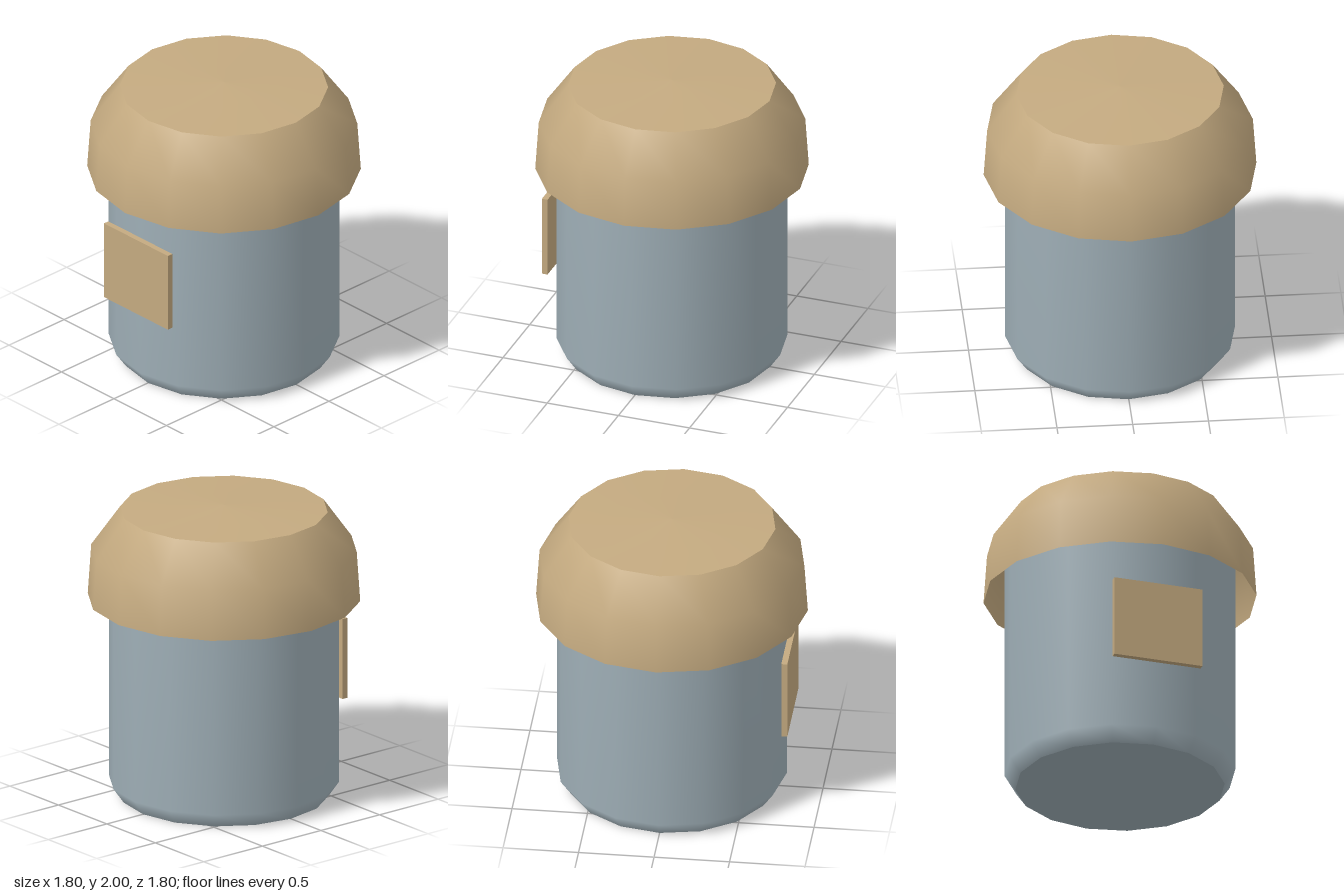
import * as THREE from 'three';

const SIDES = 16;

// Revolve a short [radius, height] profile, listed from bottom to top
function turned(name, profile, material) {
  const points = profile.map(([r, y]) => new THREE.Vector2(r, y));
  const mesh = new THREE.Mesh(new THREE.LatheGeometry(points, SIDES), material);
  mesh.name = name;
  return mesh;
}

export function createModel() {
  const tan = new THREE.MeshStandardMaterial({ color: 0xc4aa80, side: THREE.DoubleSide });
  tan.name = 'tan';
  const blueGrey = new THREE.MeshStandardMaterial({ color: 0x9fafb7, side: THREE.DoubleSide });
  blueGrey.name = 'blueGrey';

  const model = new THREE.Group();
  model.name = 'jar';

  // Body: bevelled foot and straight wall running up inside the lid
  const body = new THREE.Group();
  body.name = 'body';
  body.add(
    turned('bodyBase', [[0, 0], [0.69, 0]], blueGrey),
    turned('bodyWall', [[0.69, 0], [0.76, 0.1], [0.76, 1.68]], blueGrey),
  );

  // Lid: open, flared skirt with a sloping shoulder and a shallow cone on top
  const lid = new THREE.Group();
  lid.name = 'lid';
  lid.add(
    turned('lidSkirt', [[0.9, 1.36], [0.877, 1.7], [0.685, 1.97]], tan),
    turned('lidTop', [[0.685, 1.97], [0, 2]], tan),
  );

  // Label plate on the front
  const label = new THREE.Mesh(new THREE.BoxGeometry(0.61, 0.555, 0.04), tan);
  label.name = 'label';
  label.position.set(0, 0.843, 0.78);

  model.add(body, lid, label);
  return model;
}
